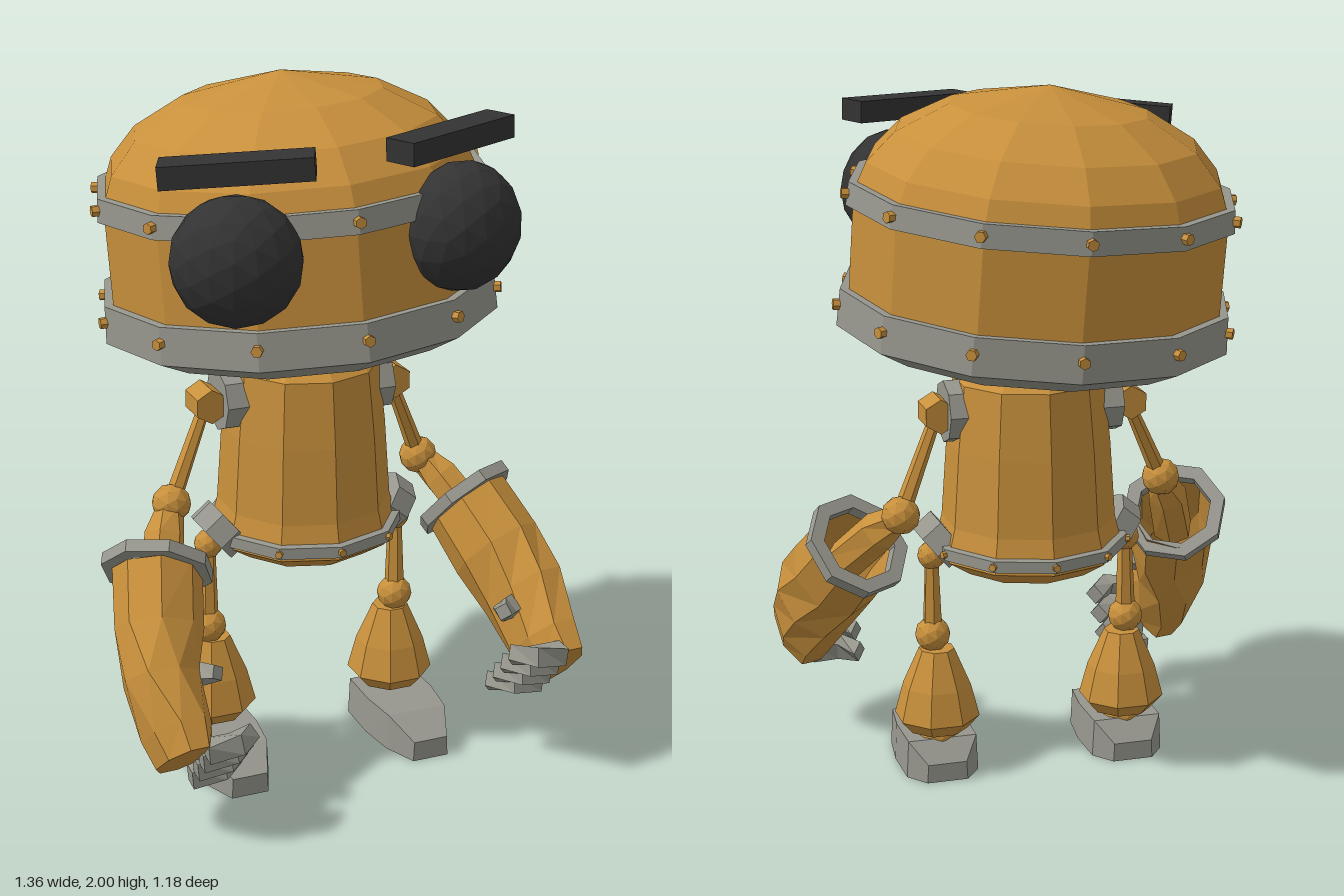
import * as THREE from 'three';

const mat = (color) => new THREE.MeshStandardMaterial({ color, flatShading: true, side: THREE.DoubleSide });
const gold = mat(0xc8903c), steel = mat(0x97978e), dark = mat(0x333333);
const V = (a) => new THREE.Vector3(...a);

function add(parent, name, geometry, material, pos = [0, 0, 0]) {
  const mesh = new THREE.Mesh(geometry, material);
  mesh.name = name;
  mesh.position.set(...pos);
  parent.add(mesh);
  return mesh;
}

const lathe = (profile, sides) =>
  new THREE.LatheGeometry(profile.map((p) => new THREE.Vector2(...p)), sides);

const ball = (r, detail = 1) => new THREE.IcosahedronGeometry(r, detail);

// Turn a mesh so that its y axis runs along a direction
const aim = (mesh, dir) => mesh.quaternion.setFromUnitVectors(new THREE.Vector3(0, 1, 0), V(dir).normalize());

function disc(parent, name, r, h, pos, dir, material, sides = 8) {
  aim(add(parent, name, new THREE.CylinderGeometry(r, r, h, sides), material, pos), dir);
}

// Tube through [x, y, z, radius, stretch] sections, closed at the end and optionally at the start
function loft(sections, sides, turn = 0, closedStart = true) {
  const pts = sections.map((s) => V(s.slice(0, 3)));
  const n = pts.length, pos = [], index = [], up = new THREE.Vector3(0, 1, 0);
  const rings = sections.map((s, i) => ({ c: pts[i], r: s[3], stretch: s[4] ?? 1, i }));
  if (closedStart) rings.unshift({ c: pts[0], r: 0, stretch: 1, i: 0 });
  rings.push({ c: pts[n - 1], r: 0, stretch: 1, i: n - 1 });
  for (const { c, r, stretch, i } of rings) {
    const dir = pts[Math.min(i + 1, n - 1)].clone().sub(pts[Math.max(i - 1, 0)]).normalize();
    const q = new THREE.Quaternion().setFromUnitVectors(up, dir);
    for (let k = 0; k < sides; k++) {
      const a = turn + (k / sides) * Math.PI * 2;
      const p = new THREE.Vector3(Math.cos(a) * r, 0, Math.sin(a) * r * stretch);
      pos.push(...p.applyQuaternion(q).add(c).toArray());
    }
  }
  for (let j = 0; j < rings.length - 1; j++)
    for (let k = 0; k < sides; k++) {
      const a = j * sides + k, b = j * sides + ((k + 1) % sides);
      index.push(a, a + sides, b, b, a + sides, b + sides);
    }
  const g = new THREE.BufferGeometry();
  g.setAttribute('position', new THREE.Float32BufferAttribute(pos, 3));
  g.setIndex(index);
  g.computeVertexNormals();
  return g;
}

// Point part of the way from a to b, with a radius
const mix = (a, b, t, r) => [...V(a).lerp(V(b), t).toArray(), r];

// Ring of rivets pointing outwards
function rivets(parent, count, radius, y, size) {
  for (let i = 0; i < count; i++) {
    const a = (i / count) * Math.PI * 2, x = Math.sin(a), z = Math.cos(a);
    disc(parent, 'rivet', size, size * 2, [x * radius, y, z * radius], [x, 0, z], gold, 6);
  }
}

function buildHead() {
  const head = new THREE.Group();
  head.name = 'head';
  head.position.set(-0.025, 1.375, -0.023);
  head.rotation.set(-0.055, -0.05, 0.055);
  add(head, 'skull', lathe([[0.53, 0], [0.53, 0.32], [0.5, 0.4], [0.425, 0.485], [0.28, 0.565], [0, 0.625]], 12), gold);
  add(head, 'jawBand', lathe([[0, -0.11], [0.46, -0.11], [0.56, -0.06], [0.555, 0.045], [0.52, 0.045]], 12), steel);
  add(head, 'browBand', lathe([[0.52, 0.28], [0.55, 0.28], [0.545, 0.345], [0.51, 0.345]], 12), steel);
  rivets(head, 12, 0.557, 0, 0.016);
  rivets(head, 12, 0.548, 0.313, 0.016);
  return head;
}

function buildFace(root) {
  const sides = [
    { eye: [-0.37, 1.62, 0.41], brow: [-0.36, 1.858, 0.395], yaw: -0.42, roll: 0.08 },
    { eye: [0.262, 1.65, 0.425], brow: [0.23, 1.889, 0.415], yaw: 0.41, roll: 0.02 },
  ];
  for (const { eye, brow, yaw, roll } of sides) {
    const e = add(root, 'eye', ball(0.175, 2), dark, eye);
    e.scale.z = 0.84;
    e.rotation.y = yaw;
    const b = add(root, 'eyebrow', new THREE.BoxGeometry(0.4, 0.062, 0.095), dark, brow);
    b.rotation.set(0, yaw, roll, 'ZYX');
  }
}

function buildBody() {
  const body = new THREE.Group();
  body.name = 'body';
  body.position.set(-0.008, 0, -0.02);
  add(body, 'torso', lathe([[0, 0.605], [0.2, 0.615], [0.27, 0.66], [0.265, 0.7], [0.25, 0.76],
    [0.235, 0.98], [0.215, 1.17], [0.145, 1.23], [0.075, 1.245], [0.075, 1.31]], 10), gold);
  add(body, 'waistBand', lathe([[0.24, 0.672], [0.285, 0.672], [0.285, 0.705], [0.24, 0.71]], 10), steel);
  rivets(body, 10, 0.283, 0.689, 0.011);
  return body;
}

function buildArm({ s, elbow, cuff, mid, wrist, finger, thumb }) {
  const arm = new THREE.Group();
  arm.name = s > 0 ? 'leftArm' : 'rightArm';
  const shoulder = [s * 0.281 - 0.021, 1.083, -0.022];
  disc(arm, 'shoulderPlate', 0.09, 0.07, [s * 0.22 - 0.014, 1.085, -0.02], [1, 0, 0], steel);
  disc(arm, 'shoulderHinge', 0.05, 0.1, shoulder, [0, 0, 1], gold, 6);
  add(arm, 'upperArm', loft([[...shoulder, 0.018], [...elbow, 0.026]], 6), gold);
  add(arm, 'elbow', ball(0.056), gold, elbow);
  add(arm, 'forearmCore', loft([mix(elbow, cuff, 0.1, 0.04), mix(elbow, cuff, 0.5, 0.058),
    mix(cuff, mid, 0.3, 0.06)], 6), gold);

  // Hollow gauntlet that flattens towards the hand, with its cuff ring
  add(arm, 'forearm', loft([[...cuff, 0.125, 1.05], [...mix(cuff, mid, 0.55, 0.122), 1.15], [...mid, 0.11, 1.3],
    [...mix(mid, wrist, 0.65, 0.092), 1.5], [...wrist, 0.072, 1.8]], 8, Math.PI / 8, false), gold);
  const ring = lathe([[0.115, -0.018], [0.158, -0.018], [0.158, 0.018], [0.115, 0.018], [0.115, -0.018]], 8);
  aim(add(arm, 'cuff', ring, steel, cuff), [s * 0.34, -0.66, 0.67]);

  // Curled fingers and thumb
  for (let i = 0; i < 4; i++) {
    const [x, y, z] = [finger[0], finger[1] - i * 0.049, finger[2] - i * 0.046];
    add(arm, 'finger', loft([[x, y, z, 0.038], [x - s * 0.085, y + 0.008, z + 0.005, 0.04],
      [x - s * 0.14, y + 0.002, z - 0.045, 0.032]], 4, Math.PI / 4), steel);
  }
  const [tx, ty, tz] = thumb;
  add(arm, 'thumb', loft([[tx + s * 0.06, ty - 0.01, tz - 0.04, 0.036], [tx, ty, tz, 0.036],
    [tx - s * 0.03, ty + 0.02, tz + 0.05, 0.026]], 4, Math.PI / 4), steel);
  return arm;
}

// Box reshaped by [z, half width, height] stations from heel to toe
function footGeometry() {
  const stations = [[-0.12, 0.06, 0.055], [-0.06, 0.107, 0.11], [0.08, 0.11, 0.11], [0.2, 0.095, 0.108], [0.3, 0.055, 0.06]];
  const g = new THREE.BoxGeometry(2, 1, 1, 1, 1, 4);
  const p = g.attributes.position;
  for (let i = 0; i < p.count; i++) {
    const [z, w, h] = stations[Math.round((p.getZ(i) + 0.5) * 4)];
    const top = p.getY(i) > 0;
    p.setXYZ(i, p.getX(i) * w * (top ? 0.95 : 1), top ? h : 0, z);
  }
  return g;
}

function buildLeg({ s, hip, knee, x }) {
  const leg = new THREE.Group();
  leg.name = s > 0 ? 'leftLeg' : 'rightLeg';
  disc(leg, 'hipPlate', 0.085, 0.07, [s * 0.262 - 0.012, 0.7, 0], [s * 0.77, -0.64, 0], steel);
  add(leg, 'hipJoint', ball(0.042), gold, hip);
  add(leg, 'thigh', loft([[...hip, 0.02], [...knee, 0.03]], 6), gold);
  add(leg, 'knee', ball(0.052), gold, knee);
  const shin = add(leg, 'shin',
    lathe([[0, 0.125], [0.09, 0.125], [0.125, 0.165], [0.1, 0.26], [0.052, 0.37], [0, 0.37]], 8), gold, [x, 0, 0]);
  shin.rotation.y = Math.PI / 8;
  add(leg, 'ankle', ball(0.06), gold, [x, 0.11, -0.01]);
  add(leg, 'foot', footGeometry(), steel, [x, 0, 0]);
  return leg;
}

export function createModel() {
  const root = new THREE.Group();
  root.name = 'robot';
  root.add(buildHead(), buildBody());
  buildFace(root);
  root.add(buildArm({ s: 1, elbow: [0.38, 0.805, -0.07], cuff: [0.485, 0.69, 0.035], mid: [0.568, 0.47, 0.265],
    wrist: [0.583, 0.305, 0.45], finger: [0.56, 0.39, 0.53], thumb: [0.455, 0.475, 0.37] }));
  root.add(buildArm({ s: -1, elbow: [-0.432, 0.82, 0.04], cuff: [-0.51, 0.675, 0.135], mid: [-0.57, 0.43, 0.325],
    wrist: [-0.56, 0.255, 0.475], finger: [-0.515, 0.3, 0.53], thumb: [-0.47, 0.45, 0.37] }));
  root.add(buildLeg({ s: 1, hip: [0.275, 0.655, 0], knee: [0.272, 0.41, 0.01], x: 0.263 }));
  root.add(buildLeg({ s: -1, hip: [-0.31, 0.66, 0], knee: [-0.317, 0.41, 0.01], x: -0.303 }));
  return root;
}
